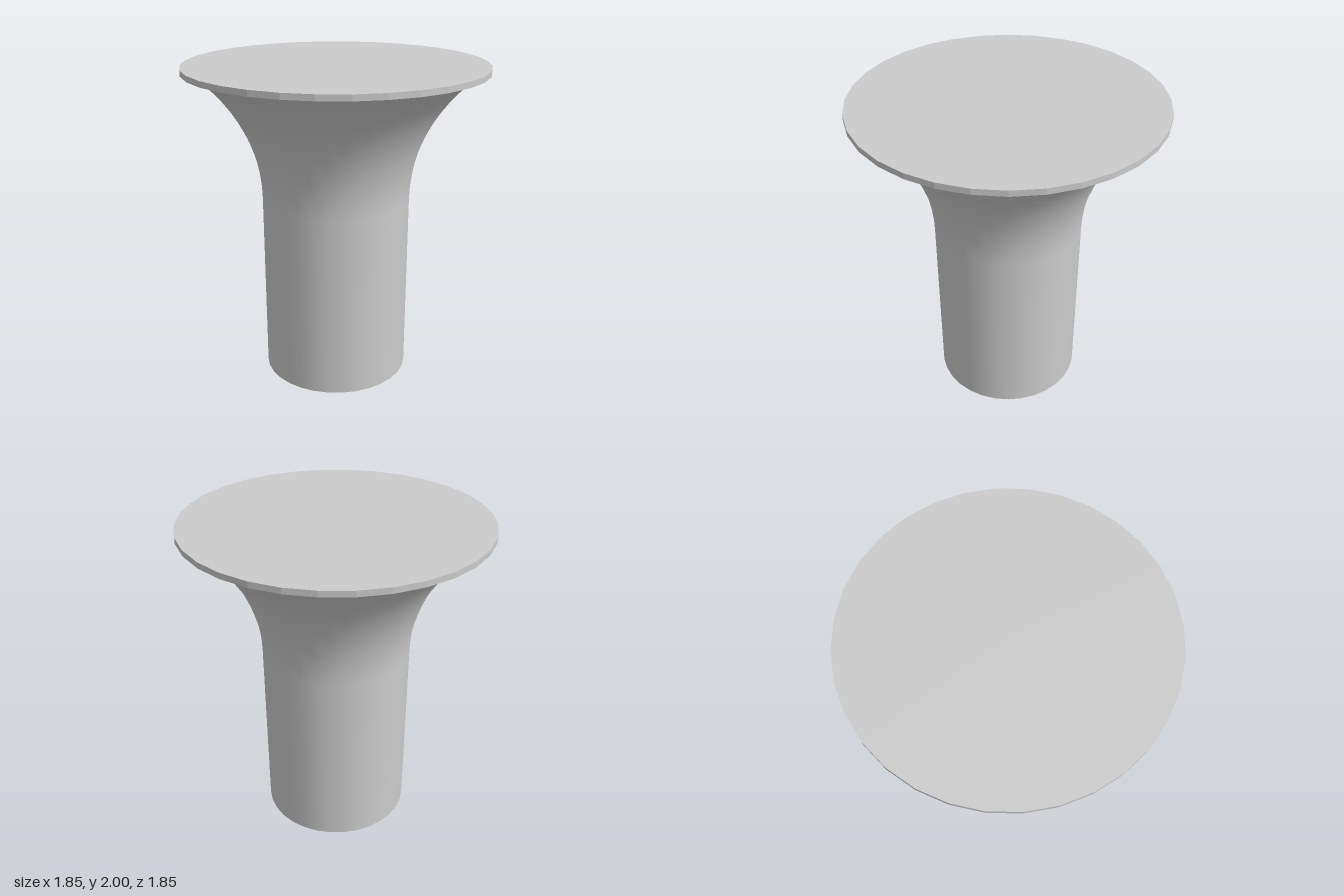
import * as THREE from 'three';

const SIDES = 32;

export function createModel() {
  const group = new THREE.Group();
  const add = (name, geometry, options) => {
    const mesh = new THREE.Mesh(geometry, new THREE.MeshStandardMaterial({ color: 0xcccccc, ...options }));
    mesh.name = name;
    group.add(mesh);
    return mesh;
  };

  // Open hollow stem: straight tube that sweeps out along a circular arc
  const radius = 0.463, flareStart = 1.16, flareTop = 1.965, arc = 1.02;
  const profile = [new THREE.Vector2(radius, 0)];
  const endAngle = Math.asin((flareTop - flareStart) / arc);
  for (let i = 0; i <= 12; i++) {
    const a = endAngle * i / 12;
    profile.push(new THREE.Vector2(radius + arc * (1 - Math.cos(a)), flareStart + arc * Math.sin(a)));
  }
  add('flaredStem', new THREE.LatheGeometry(profile, SIDES), { side: THREE.DoubleSide });

  // Thin faceted disc on top
  const thickness = 2 - flareTop;
  const plate = add('topPlate', new THREE.CylinderGeometry(0.923, 0.923, thickness, SIDES), { flatShading: true });
  plate.position.y = 2 - thickness / 2;

  return group;
}
